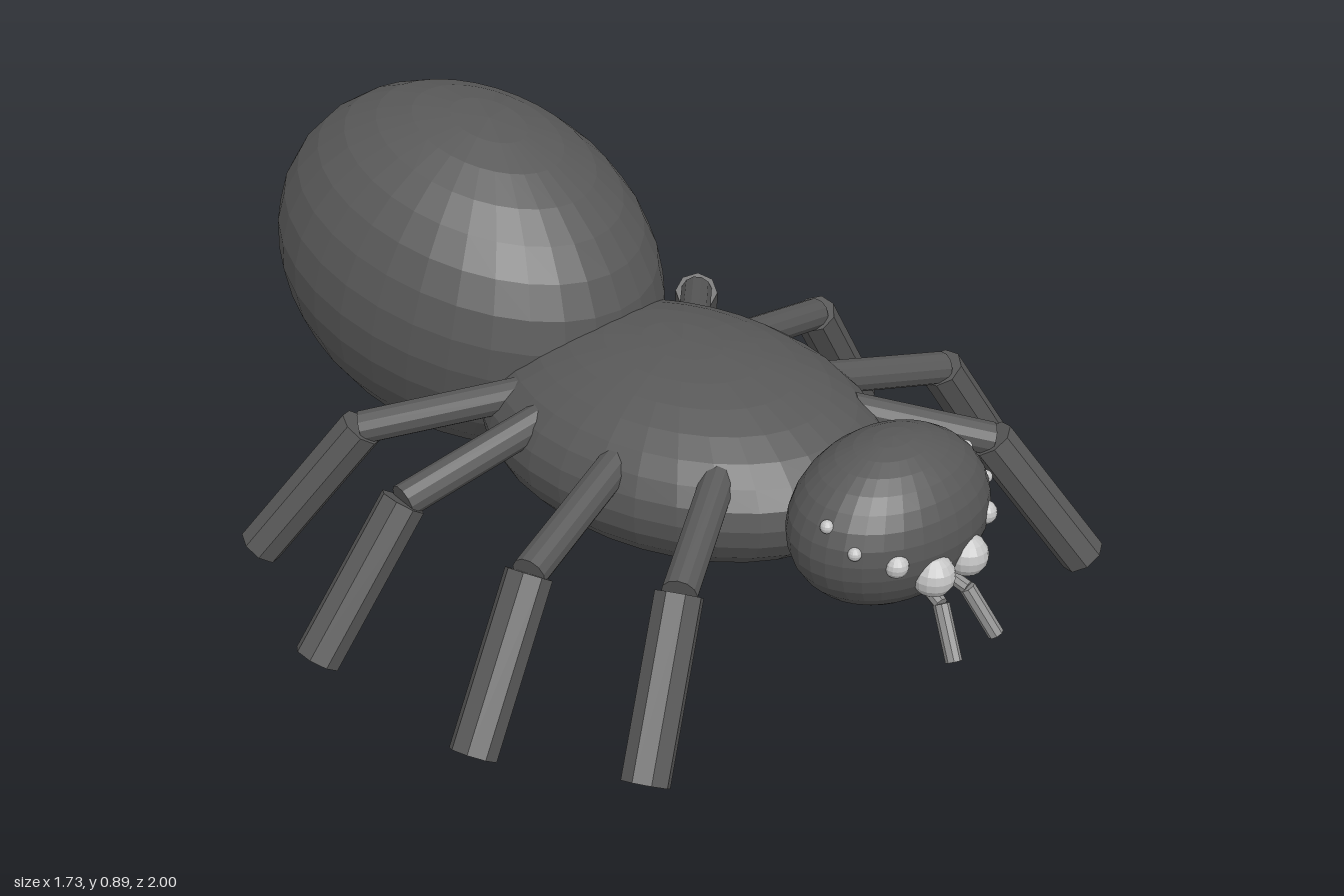
import * as THREE from 'three';

const bodyGrey = new THREE.MeshStandardMaterial({ color: 0x585858 });
bodyGrey.name = 'bodyGrey';
const eyeGrey = new THREE.MeshStandardMaterial({ color: 0xc4c4c4 });
eyeGrey.name = 'eyeGrey';
const fangGrey = new THREE.MeshStandardMaterial({ color: 0x909090 });
fangGrey.name = 'fangGrey';

// Split the faces so that each one is shaded flat
function faceted(geometry) {
  const flat = geometry.toNonIndexed();
  flat.computeVertexNormals();
  return flat;
}

function ellipsoid(name, material, center, radii, segments = 32) {
  const geometry = new THREE.SphereGeometry(1, segments, segments / 2).scale(...radii);
  const mesh = new THREE.Mesh(faceted(geometry), material);
  mesh.name = name;
  mesh.position.set(...center);
  return mesh;
}

// Straight rod between two points
function rod(name, material, from, to, radius, sides) {
  const axis = to.clone().sub(from);
  const geometry = new THREE.CylinderGeometry(radius, radius, axis.length(), sides);
  const mesh = new THREE.Mesh(faceted(geometry), material);
  mesh.name = name;
  mesh.position.copy(from).add(to).multiplyScalar(0.5);
  mesh.quaternion.setFromUnitVectors(new THREE.Vector3(0, 1, 0), axis.normalize());
  return mesh;
}

function leg(name, [hipX, hipZ, kneeX, kneeZ, footX, footZ]) {
  const group = new THREE.Group();
  group.name = name;
  const hip = new THREE.Vector3(hipX, 0.4, hipZ);
  const knee = new THREE.Vector3(kneeX, 0.335, kneeZ);
  const foot = new THREE.Vector3(footX, 0.036, footZ);
  // The upper leg reaches into the thorax
  const root = hip.clone().lerp(knee, -0.3);
  group.add(rod('upperLeg', bodyGrey, root, knee, 0.037, 12));
  group.add(rod('lowerLeg', bodyGrey, knee, foot, 0.05, 8));
  return group;
}

export function createModel() {
  const spider = new THREE.Group();
  spider.name = 'spider';

  // Body
  const abdomen = ellipsoid('abdomen', bodyGrey, [0.015, 0.507, -0.5], [0.383, 0.383, 0.505]);
  abdomen.rotation.x = 0.21;
  spider.add(abdomen);
  spider.add(ellipsoid('thorax', bodyGrey, [0.015, 0.34, 0.17], [0.37, 0.21, 0.5]));
  spider.add(ellipsoid('head', bodyGrey, [0.003, 0.38, 0.755], [0.242, 0.176, 0.177]));

  // Eyes in mirrored pairs: x, y, z, radius
  const eyes = [
    [0.053, 0.328, 0.915, 0.045],
    [0.14, 0.377, 0.89, 0.025],
    [0.206, 0.41, 0.838, 0.014],
    [0.217, 0.45, 0.775, 0.014],
  ];
  for (const side of [-1, 1]) {
    for (const [x, y, z, r] of eyes) {
      spider.add(ellipsoid('eye', eyeGrey, [0.002 + side * x, y, z], [r, r, r], 16));
    }
    // Fang with a short bent root
    const at = (x, y, z) => new THREE.Vector3(0.01 + side * x, y, z);
    const bend = at(0.042, 0.255, 0.925);
    spider.add(rod('fangRoot', fangGrey, at(0.03, 0.28, 0.86), bend, 0.015, 8));
    spider.add(rod('fang', fangGrey, bend, at(0.068, 0.158, 0.985), 0.017, 8));
  }

  // Legs: x and z of hip, knee and foot
  const rightLegs = [
    [-0.25, 0.5, -0.46, 0.615, -0.655, 0.715],
    [-0.33, 0.28, -0.615, 0.355, -0.825, 0.41],
    [-0.33, 0.02, -0.61, -0.025, -0.83, -0.06],
    [-0.28, -0.13, -0.47, -0.32, -0.64, -0.485],
  ];
  const leftLegs = [
    [0.27, 0.52, 0.445, 0.675, 0.605, 0.83],
    [0.35, 0.35, 0.62, 0.4, 0.82, 0.44],
    [0.35, 0.07, 0.62, 0.025, 0.825, -0.005],
    [0.32, -0.08, 0.51, -0.25, 0.675, -0.4],
  ];
  rightLegs.forEach((points, i) => spider.add(leg('rightLeg' + (i + 1), points)));
  leftLegs.forEach((points, i) => spider.add(leg('leftLeg' + (i + 1), points)));

  return spider;
}
